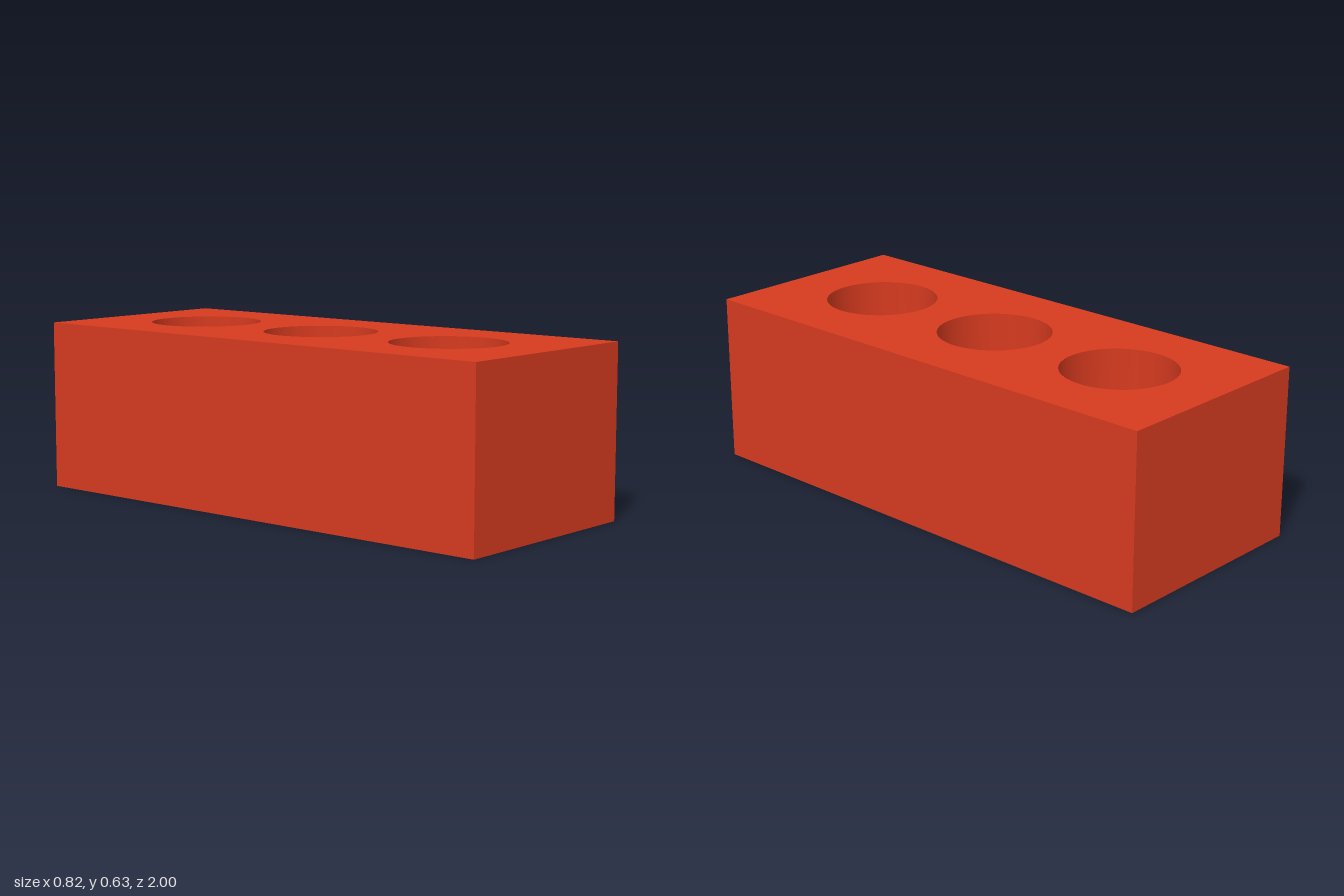
import * as THREE from 'three';
import { toCreasedNormals } from 'three/addons/utils/BufferGeometryUtils.js';

const WIDTH = 0.824, HEIGHT = 0.634, LENGTH = 2;
const HOLE_RADIUS = 0.209;
const HOLE_CENTRES = [-0.588, -0.006, 0.577]; // along z

export function createModel() {
  const model = new THREE.Group();
  model.name = 'brick';

  // Rectangular outline in plan; shape y becomes -z once laid flat
  const w = WIDTH / 2, l = LENGTH / 2;
  const outline = new THREE.Shape([
    new THREE.Vector2(-w, -l),
    new THREE.Vector2(w, -l),
    new THREE.Vector2(w, l),
    new THREE.Vector2(-w, l),
  ]);

  // Three round holes right through the brick
  for (const z of HOLE_CENTRES) {
    outline.holes.push(new THREE.Path().absarc(0, -z, HOLE_RADIUS, 0, Math.PI * 2, true));
  }

  const extruded = new THREE.ExtrudeGeometry(outline, {
    depth: HEIGHT, bevelEnabled: false, curveSegments: 32,
  });
  extruded.rotateX(-Math.PI / 2);

  // Smooth hole walls, sharp outer edges and rims
  const body = new THREE.Mesh(
    toCreasedNormals(extruded, Math.PI / 6),
    new THREE.MeshStandardMaterial({ color: 0xd63a1f }),
  );
  body.name = 'brickBody';
  model.add(body);
  return model;
}
